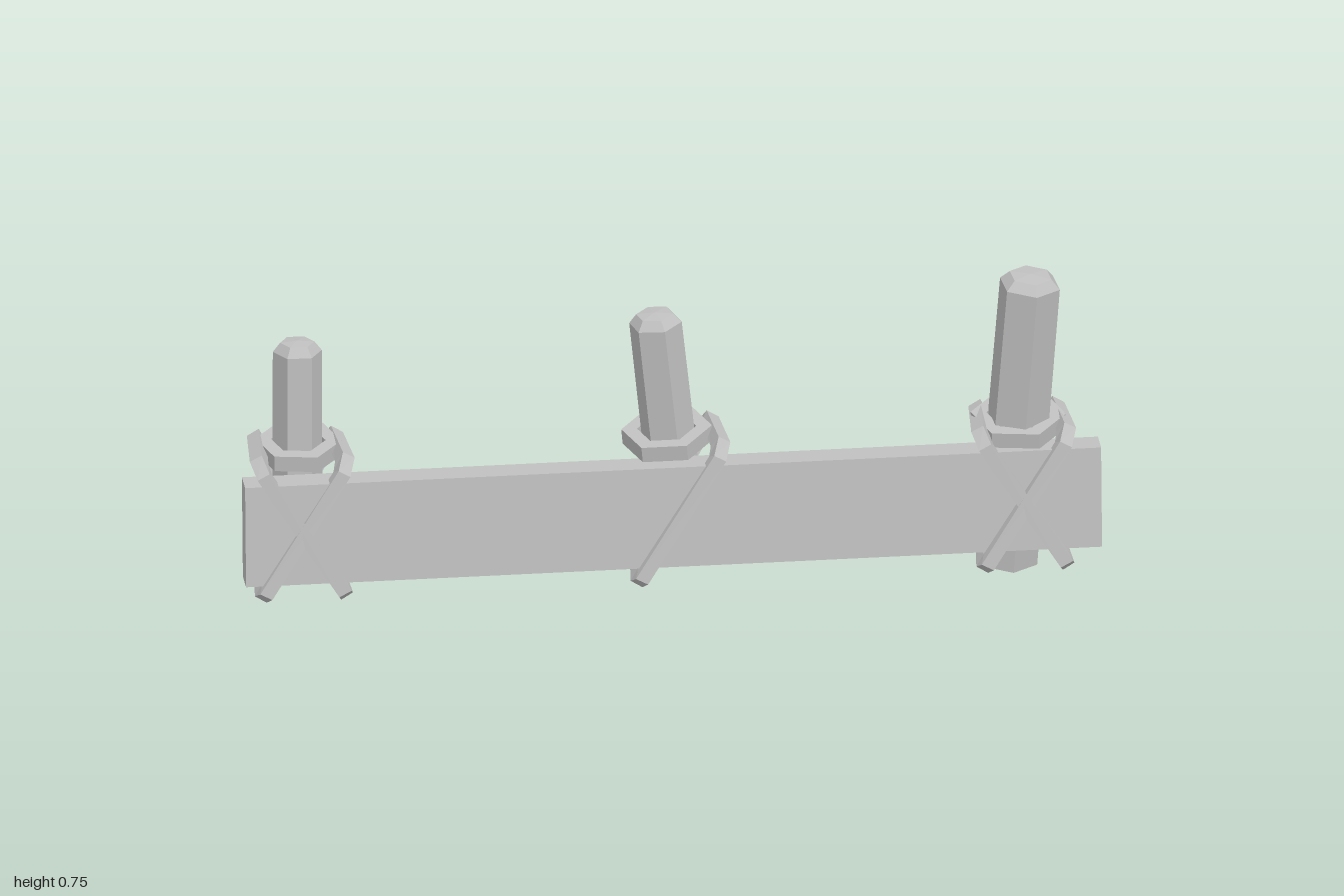
import * as THREE from 'three';

const wood = new THREE.MeshStandardMaterial({ color: 0xbfbfbf, flatShading: true });
wood.name = 'pale grey wood';

const V = (x, y, z) => new THREE.Vector3(x, y, z);

function addMesh(parent, name, geometry) {
  const mesh = new THREE.Mesh(geometry, wood);
  mesh.name = name;
  parent.add(mesh);
  return mesh;
}

// Closed strap with a rectangular section, mitred at every corner
function strapGeometry(points, thick, width) {
  const n = points.length;
  const N = V(0, 0, 0);
  points.forEach((p, i) => N.add(p.clone().cross(points[(i + 1) % n])));
  N.normalize();
  const rings = points.map((p, i) => {
    const t1 = p.clone().sub(points[(i + n - 1) % n]).normalize();
    const t2 = points[(i + 1) % n].clone().sub(p).normalize();
    const T = t1.clone().add(t2).normalize();
    const O = T.clone().cross(N).normalize();
    const B = O.clone().cross(T);
    const miter = Math.min(1.5, 1 / t1.dot(T));
    return [[1, 1], [-1, 1], [-1, -1], [1, -1]].map(([b, o]) =>
      p.clone().addScaledVector(B, b * width / 2).addScaledVector(O, o * miter * thick / 2));
  });
  const verts = [];
  for (let i = 0; i < n; i++) {
    const r = rings[i], s = rings[(i + 1) % n];
    for (let k = 0; k < 4; k++) {
      const m = (k + 1) % 4;
      for (const p of [r[k], r[m], s[m], r[k], s[m], s[k]]) verts.push(p.x, p.y, p.z);
    }
  }
  const g = new THREE.BufferGeometry();
  g.setAttribute('position', new THREE.Float32BufferAttribute(verts, 3));
  g.computeVertexNormals();
  return g;
}

// Six-sided stake with a blunt chamfered top, running from a to b
function stake(parent, a, b, r, turn) {
  const dir = b.clone().sub(a), h = dir.length();
  const profile = [[0, 0], [r, 0], [r * 0.97, h], [r * 0.68, h + 0.022], [0, h + 0.026]]
    .map(([x, y]) => new THREE.Vector2(x, y));
  const g = new THREE.LatheGeometry(profile, 6);
  g.rotateY(turn);
  const mesh = addMesh(parent, 'stake', g);
  mesh.position.copy(a);
  mesh.quaternion.setFromUnitVectors(V(0, 1, 0), dir.normalize());
}

// Slanted lashing around stake and plank; side is where its low end sits
function lashing(parent, x, side) {
  const points = [
    [0.088, 0.075, 0.122], [-0.09, 0.345, 0.085], [-0.1, 0.37, 0.055],
    [-0.09, 0.372, -0.09], [-0.08, 0.34, -0.122],
    [0.08, 0.088, -0.04], [0.092, 0.06, 0.095],
  ].map(([px, y, z]) => V(x + side * px, y, z));
  addMesh(parent, 'lashing', strapGeometry(points, 0.032, 0.032));
}

// Six-sided collar tied round a stake, slightly tilted
function collar(parent, c, r, tiltX, tiltZ) {
  const points = [];
  for (let i = 0; i < 6; i++) {
    const a = (i / 6) * Math.PI * 2 + 0.35;
    const x = Math.sin(a) * r, z = Math.cos(a) * r;
    points.push(V(c.x + x, c.y + x * tiltX + z * tiltZ, c.z + z));
  }
  addMesh(parent, 'collar', strapGeometry(points, 0.032, 0.038));
}

export function createModel() {
  const model = new THREE.Group();
  model.name = 'fence';

  // Plank: a box, leaning back and drifting backward toward +x
  const plank = new THREE.BoxGeometry(2, 0.24, 0.068);
  const pos = plank.attributes.position;
  for (let i = 0; i < pos.count; i++) {
    const x = pos.getX(i), y = pos.getY(i);
    pos.setXYZ(i, x, y + 0.211 + x * 0.003, pos.getZ(i) + 0.07 - x * 0.009 - y * 0.085);
  }
  plank.computeVertexNormals();
  addMesh(model, 'plank', plank);

  const posts = [
    { name: 'rightPost', base: V(-0.862, 0.075, -0.04), top: V(-0.862, 0.606, -0.045), r: 0.059,
      turn: Math.PI / 6, x: -0.862, sides: [1, -1], ring: V(-0.86, 0.368, -0.04), ringR: 0.082, tilt: [0.02, -0.1] },
    { name: 'middlePost', base: V(0.035, 0.068, -0.045), top: V(-0.029, 0.652, -0.017), r: 0.064,
      turn: 0.25, x: 0.015, sides: [-1], ring: V(0, 0.365, -0.03), ringR: 0.087, tilt: [0.1, -0.12] },
    { name: 'leftPost', base: V(0.793, 0.014, -0.044), top: V(0.841, 0.725, 0.02), r: 0.075,
      turn: 0.12, x: 0.822, sides: [1, -1], ring: V(0.818, 0.37, -0.018), ringR: 0.092, tilt: [0.03, -0.15] },
  ];
  for (const p of posts) {
    const group = new THREE.Group();
    group.name = p.name;
    stake(group, p.base, p.top, p.r, p.turn);
    collar(group, p.ring, p.ringR, ...p.tilt);
    p.sides.forEach((side) => lashing(group, p.x, side));
    model.add(group);
  }
  return model;
}
